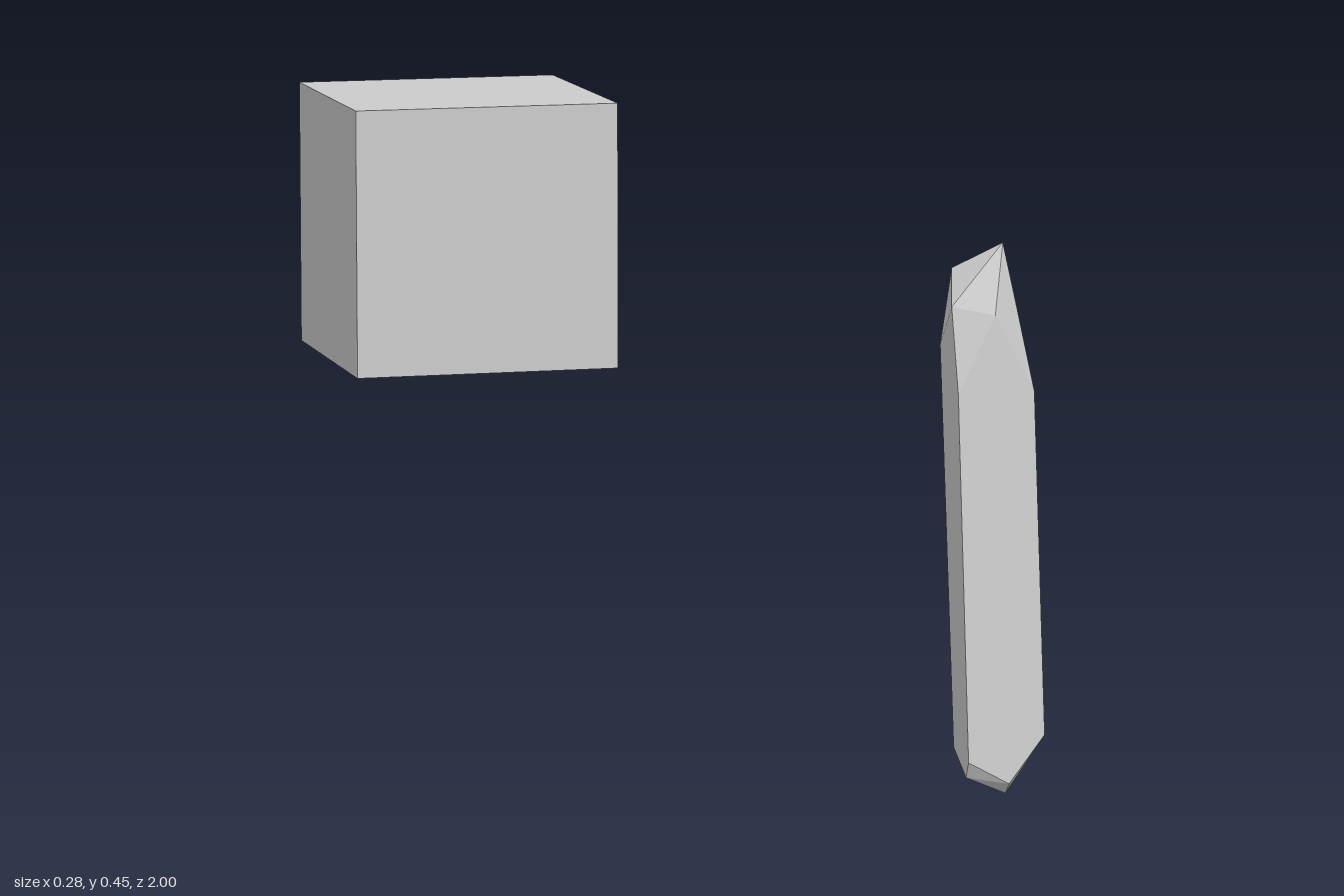
import * as THREE from 'three';
import { ConvexGeometry } from 'three/addons/geometries/ConvexGeometry.js';

export function createModel() {
  const model = new THREE.Group();
  const material = new THREE.MeshStandardMaterial({ color: 0xcccccc, flatShading: true });
  const add = (name, geometry) => {
    const mesh = new THREE.Mesh(geometry, material);
    mesh.name = name;
    model.add(mesh);
    return mesh;
  };

  // Plain cube at the back
  add('block', new THREE.BoxGeometry(0.285, 0.285, 0.285)).position.set(0, 0.248, -0.8575);

  // Leaning six-sided crystal: chipped foot, shaft and faceted tip
  const foot = [[0.033, 0.002, 0.99], [0, 0.016, 0.985], [0.035, 0.008, 0.937]];
  const shaftBase = [
    [0.033, 0.012, 1], [0.067, 0.05, 0.99], [0.067, 0.035, 0.95],
    [0.033, 0.035, 0.915], [0, 0.035, 0.95], [0, 0.03, 0.992],
  ];
  const shaftTop = [
    [0.033, 0.4, 0.953], [0.067, 0.335, 0.955], [0.068, 0.37, 0.905],
    [0.034, 0.365, 0.868], [0, 0.37, 0.905], [0, 0.335, 0.957],
  ];
  const tip = [
    [0, 0.406, 0.937], [0.056, 0.406, 0.938], [0.048, 0.457, 0.925],
    [0.065, 0.424, 0.893], [0.015, 0.432, 0.888],
  ];
  const corners = [...foot, ...shaftBase, ...shaftTop, ...tip].map((p) => new THREE.Vector3(...p));
  add('crystal', new ConvexGeometry(corners));

  return model;
}
